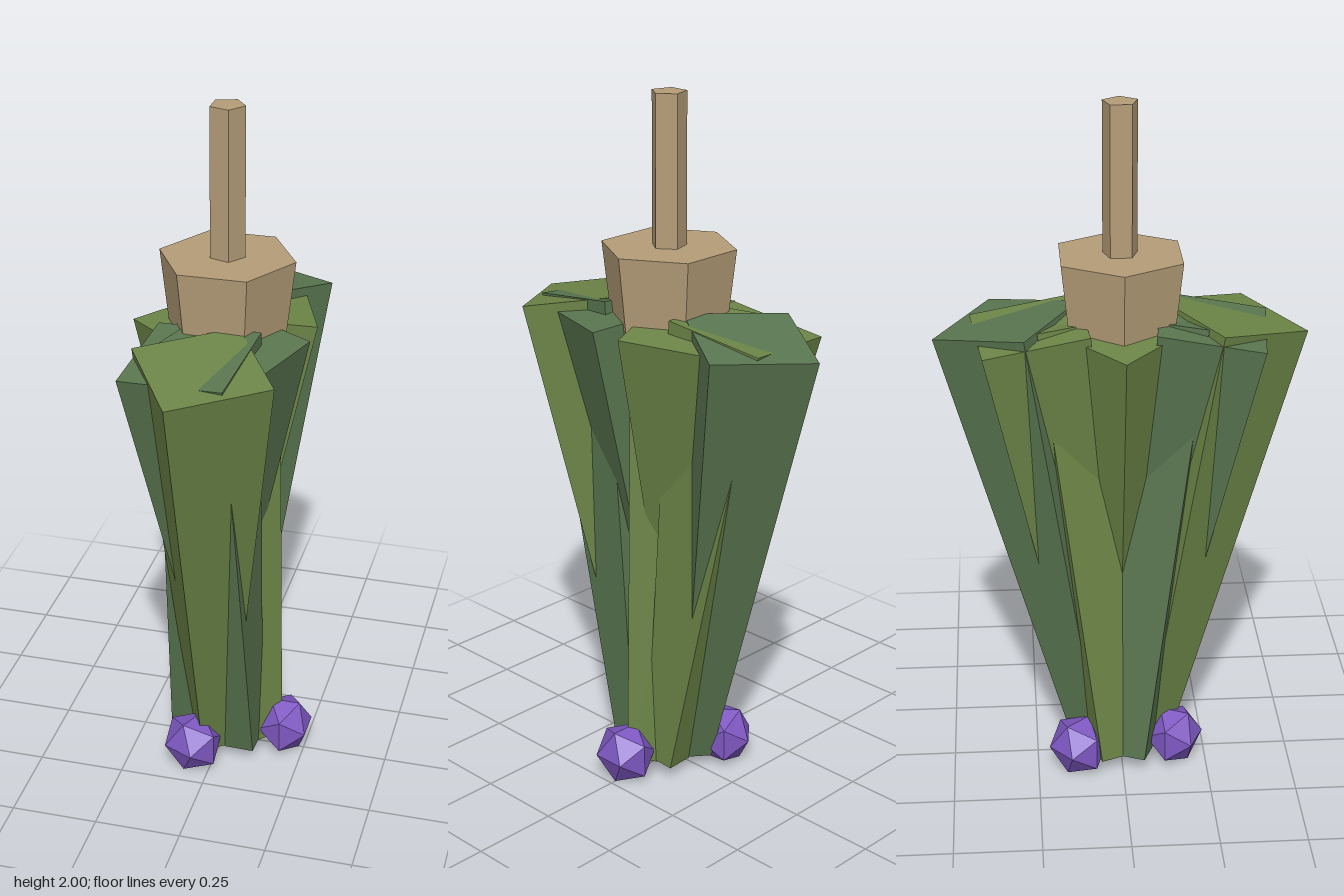
import * as THREE from 'three';

const material = (name, color) => {
  const m = new THREE.MeshStandardMaterial({ color, flatShading: true });
  m.name = name;
  return m;
};

export function createModel() {
  const group = new THREE.Group();
  const olive = material('olive green', 0x6c8547);
  const sage = material('sage green', 0x5a7650);
  const wood = material('light wood', 0xb59d78);
  const purple = material('purple', 0x7e58c2);
  const cx = 0.01; // axis of the bundle

  const add = (name, geometry, mat, x, y, z) => {
    const mesh = new THREE.Mesh(geometry, mat);
    mesh.name = name;
    mesh.position.set(x, y, z);
    group.add(mesh);
    return mesh;
  };

  // Handle and the six-sided collar that holds the bundle
  add('handle', new THREE.CylinderGeometry(0.05, 0.05, 0.5, 5), wood, cx, 1.75, 0).rotation.y = Math.PI / 2;
  add('collar', new THREE.CylinderGeometry(0.19, 0.16, 0.26, 6), wood, cx, 1.45, 0).rotation.y = Math.PI / 2;

  // Seven square stalks, narrow at the bottom, leaning and crossing each other
  const up = new THREE.Vector3(0, 1, 0);
  for (let i = 0; i < 7; i++) {
    const a = (i / 7) * Math.PI * 2;
    const bottom = new THREE.Vector3(cx + 0.11 * Math.cos(a), 0.045, 0.08 * Math.sin(a));
    const top = new THREE.Vector3(cx - 0.06 * Math.cos(a), 1.39, 0.322 * Math.sin(a));
    const axis = top.clone().sub(bottom);
    const mid = top.clone().add(bottom).multiplyScalar(0.5);
    const stalk = add('stalk' + (i + 1), new THREE.CylinderGeometry(0.21, 0.063, axis.length(), 4),
      i % 2 ? sage : olive, mid.x, mid.y, mid.z);
    stalk.quaternion.setFromUnitVectors(up, axis.normalize())
      .multiply(new THREE.Quaternion().setFromAxisAngle(up, -a));
  }

  // Three faceted buds around the foot
  for (let i = 0; i < 3; i++) {
    const a = i * 2;
    const bud = add('bud' + (i + 1), new THREE.IcosahedronGeometry(0.093), purple,
      0.018 + 0.173 * Math.cos(a), 0.081, 0.173 * Math.sin(a));
    bud.rotation.y = -a;
    bud.scale.x = 0.9;
  }
  return group;
}
